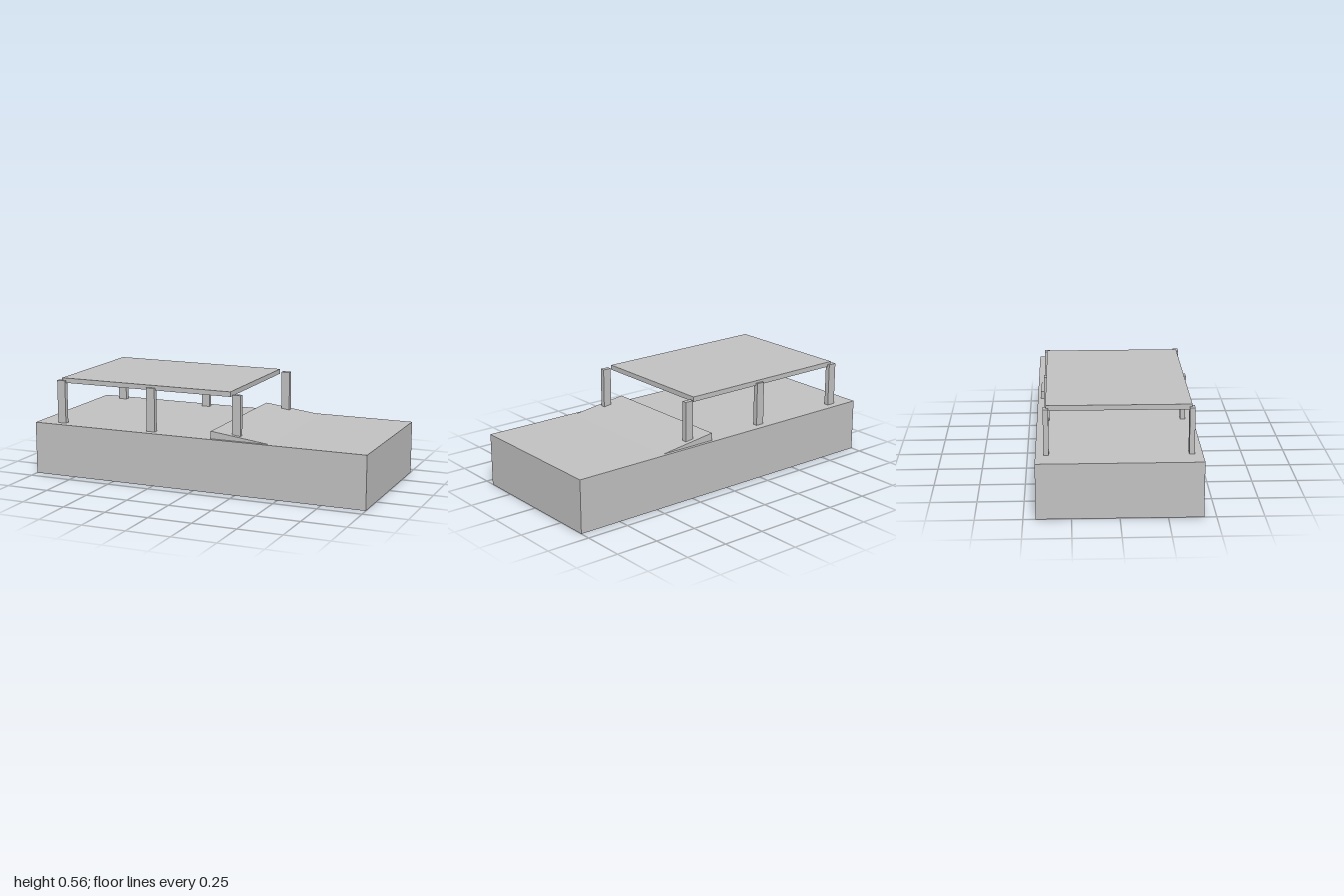
import * as THREE from 'three';

export function createModel() {
  const model = new THREE.Group();
  const grey = new THREE.MeshStandardMaterial({ color: 0xc0c0c0 });
  grey.name = 'light grey';

  // Adds a box given its size and centre
  function box(name, size, centre) {
    const mesh = new THREE.Mesh(new THREE.BoxGeometry(...size), grey);
    mesh.name = name;
    mesh.position.set(...centre);
    model.add(mesh);
  }

  // Main body and flat roof
  box('body', [2, 0.302, 0.87], [0, 0.151, 0]);
  box('roof', [1.05, 0.028, 0.756], [-0.325, 0.551, 0]);

  // Three pillars on each side
  for (const x of [-0.85, -0.28, 0.24]) {
    for (const side of [-1, 1]) {
      box(side > 0 ? 'frontPillar' : 'backPillar', [0.05, 0.25, 0.028], [x, 0.426, side * 0.378]);
    }
  }

  // Sloping panel, its thin end sunk into the body
  const profile = new THREE.Shape([
    new THREE.Vector2(0.1, 0.295),
    new THREE.Vector2(0.5, 0.295),
    new THREE.Vector2(0.1, 0.345),
  ]);
  const panel = new THREE.Mesh(
    new THREE.ExtrudeGeometry(profile, { depth: 0.834, bevelEnabled: false }), grey);
  panel.name = 'slopedPanel';
  panel.position.z = -0.417;
  model.add(panel);

  return model;
}
